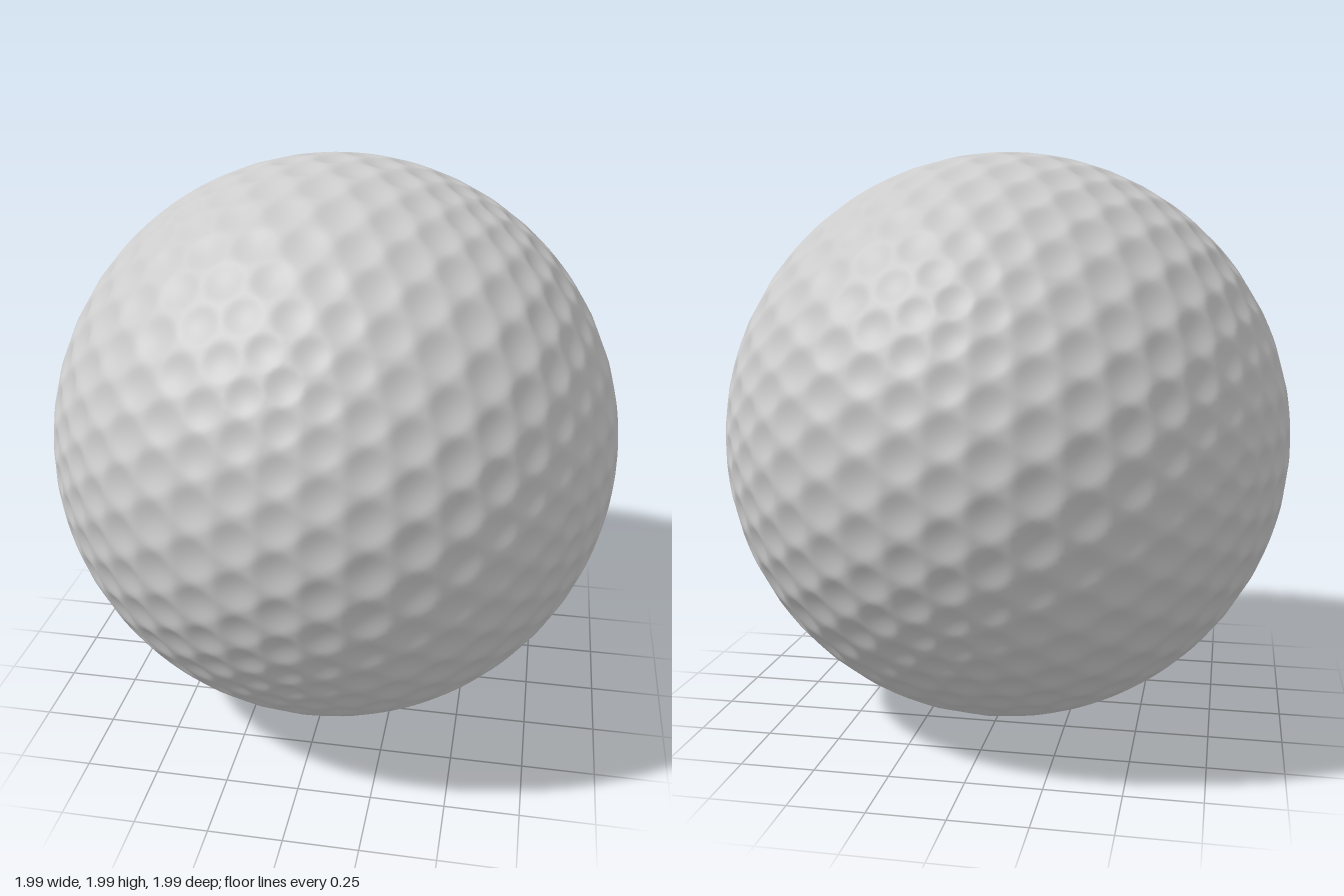
import * as THREE from 'three';
import { mergeVertices } from 'three/addons/utils/BufferGeometryUtils.js';

// Unit sphere with shared vertices; n = divisions of each icosahedron edge
function icoSphere(n) {
  const geo = new THREE.IcosahedronGeometry(1, n - 1);
  geo.deleteAttribute('uv');
  geo.deleteAttribute('normal');
  return mergeVertices(geo, 1e-4);
}

function toPoints(geo) {
  const pos = geo.attributes.position;
  return Array.from({ length: pos.count }, (_, i) => new THREE.Vector3().fromBufferAttribute(pos, i));
}

// Dimple centres on a coarse sphere, each sized by its nearest neighbour
function makeDimples(n) {
  const centres = toPoints(icoSphere(n));
  return centres.map((c) => {
    let gap = Infinity;
    for (const o of centres) if (o !== c) gap = Math.min(gap, c.distanceTo(o));
    return { c, radius: gap * 0.49 };
  });
}

export function createModel() {
  const group = new THREE.Group();
  group.name = 'dimpledBall';

  const dimples = makeDimples(8);
  const depth = 0.09; // dimple depth relative to its diameter
  const geo = icoSphere(80);
  const pos = geo.attributes.position;

  // Press a shallow round dimple into the surface around each centre
  toPoints(geo).forEach((p, i) => {
    let best = dimples[0];
    let bestDot = -1;
    for (const d of dimples) {
      const dot = p.dot(d.c);
      if (dot > bestDot) { bestDot = dot; best = d; }
    }
    const t = Math.min(p.distanceTo(best.c) / best.radius, 1);
    p.multiplyScalar(1 - depth * 2 * best.radius * Math.pow(1 - t * t, 1.3));
    pos.setXYZ(i, p.x, p.y, p.z);
  });
  geo.computeVertexNormals();

  const ball = new THREE.Mesh(geo, new THREE.MeshStandardMaterial({ color: 0xcccccc }));
  ball.name = 'ball';
  ball.position.y = 1;
  group.add(ball);
  return group;
}
